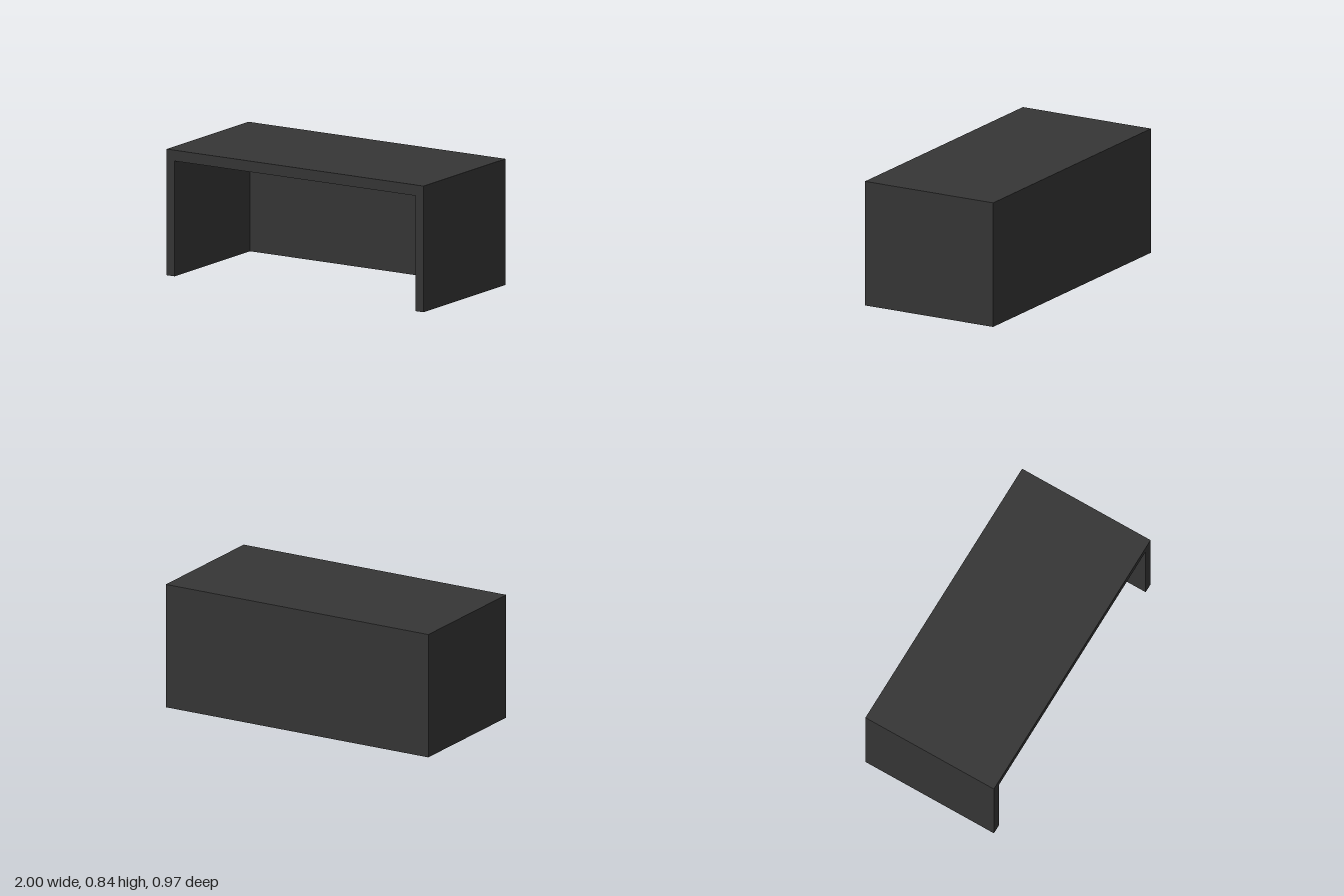
import * as THREE from 'three';

export function createModel() {
  const desk = new THREE.Group();
  desk.name = 'desk';

  const charcoal = new THREE.MeshStandardMaterial({ color: 0x363636 });
  charcoal.name = 'charcoal';

  const width = 2, height = 0.84, depth = 0.97;
  const side = 0.063, top = 0.072, back = 0.077;
  const w = width / 2, inner = w - side;

  // Top and two side panels as one arch, open at the bottom
  const arch = new THREE.Shape([
    [-w, 0], [-inner, 0], [-inner, height - top], [inner, height - top],
    [inner, 0], [w, 0], [w, height], [-w, height],
  ].map(([x, y]) => new THREE.Vector2(x, y)));
  const frame = new THREE.Mesh(
    new THREE.ExtrudeGeometry(arch, { depth: depth - back, bevelEnabled: false }),
    charcoal
  );
  frame.name = 'topAndSides';
  frame.position.z = -depth / 2 + back;
  desk.add(frame);

  // Full-height back panel
  const backPanel = new THREE.Mesh(new THREE.BoxGeometry(width, height, back), charcoal);
  backPanel.name = 'backPanel';
  backPanel.position.set(0, height / 2, (back - depth) / 2);
  desk.add(backPanel);

  return desk;
}
